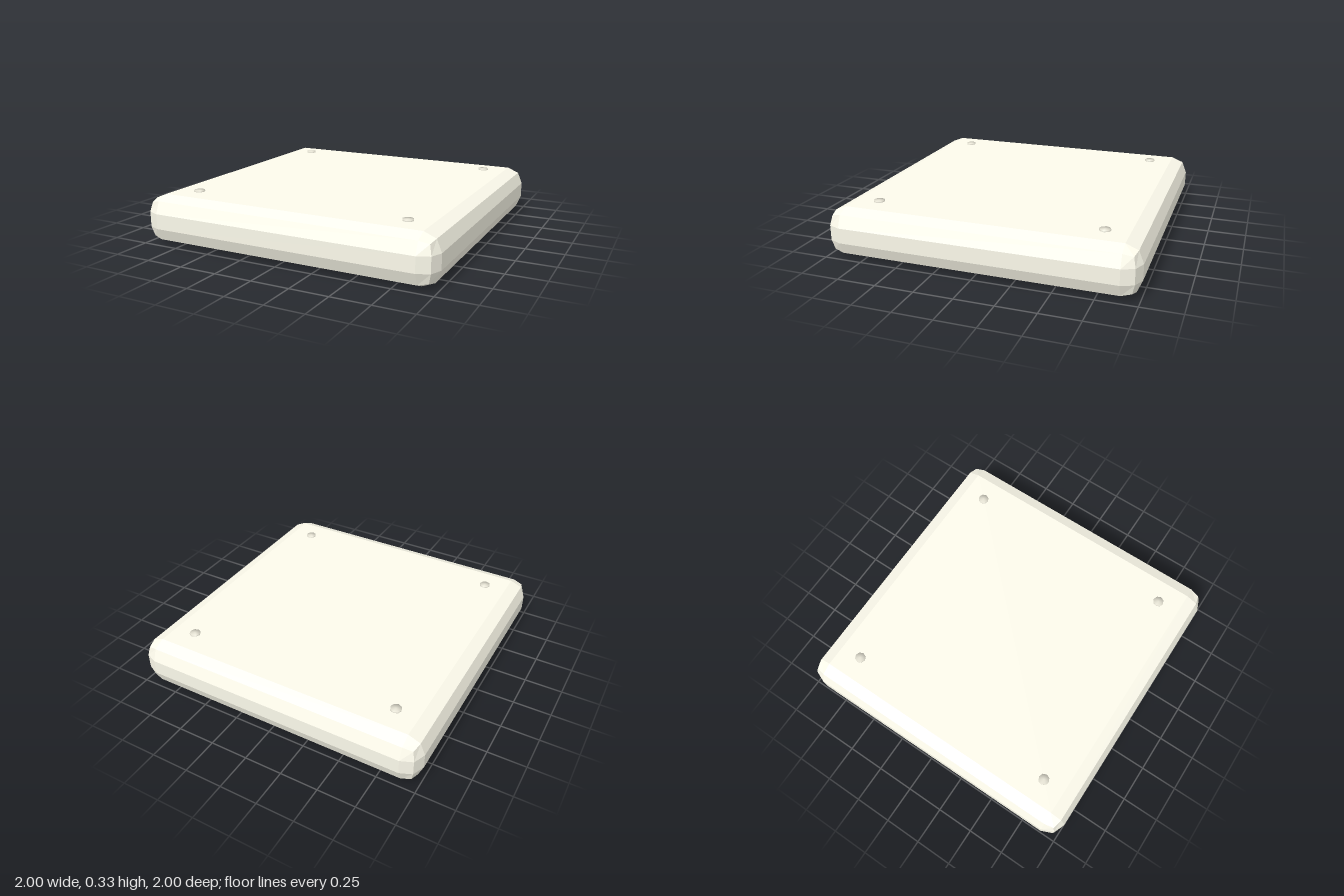
import * as THREE from 'three';
import { RoundedBoxGeometry } from 'three/addons/geometries/RoundedBoxGeometry.js';
import { mergeVertices } from 'three/addons/utils/BufferGeometryUtils.js';

const HEIGHT = 0.32;
const BEVEL = 0.11;

export function createModel() {
  const model = new THREE.Group();
  model.name = 'slab';

  // Square ivory slab with a two-facet bevel on every edge
  const slab = new THREE.Mesh(
    new RoundedBoxGeometry(2, HEIGHT, 2, 1, BEVEL),
    new THREE.MeshStandardMaterial({ color: 0xfcfaeb, flatShading: true })
  );
  slab.name = 'slabBody';
  slab.position.y = HEIGHT / 2;
  model.add(slab);

  // Low eight-sided stud with softened normals, one near each corner
  let studGeometry = new THREE.CylinderGeometry(0.036, 0.036, 0.03, 8);
  studGeometry.deleteAttribute('normal');
  studGeometry.deleteAttribute('uv');
  studGeometry = mergeVertices(studGeometry);
  studGeometry.computeVertexNormals();
  const studMaterial = new THREE.MeshStandardMaterial({ color: 0xe4e1d2 });

  for (const x of [-1, 1]) {
    for (const z of [-1, 1]) {
      const stud = new THREE.Mesh(studGeometry, studMaterial);
      stud.name = (z > 0 ? 'front' : 'back') + (x > 0 ? 'Left' : 'Right') + 'Stud';
      stud.position.set(x * 0.74, HEIGHT - 0.005, z * 0.74);
      model.add(stud);
    }
  }

  return model;
}
